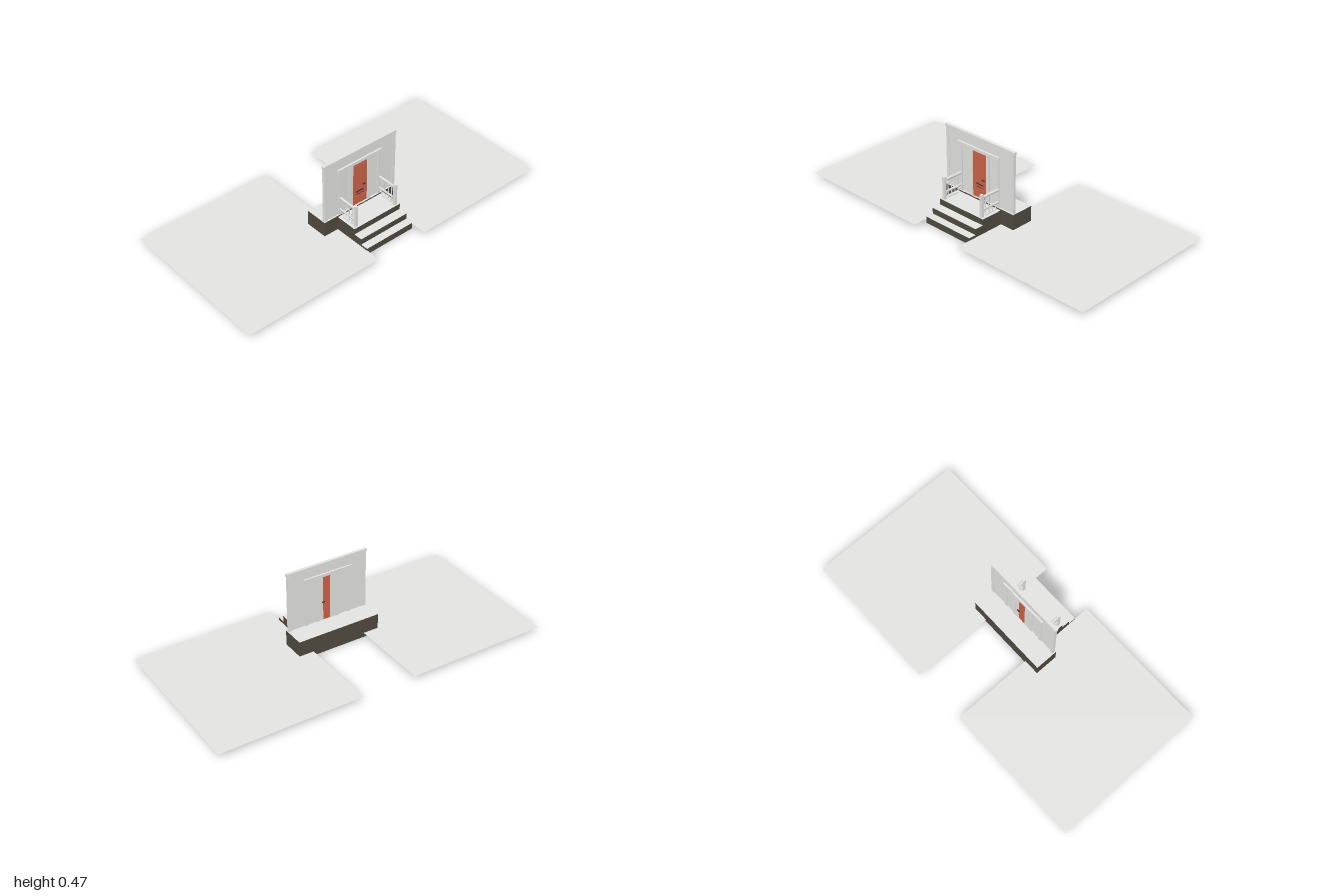
import * as THREE from 'three';

export function createModel() {
  const model = new THREE.Group();
  const mat = (name, color) => {
    const m = new THREE.MeshStandardMaterial({ color });
    m.name = name;
    return m;
  };
  const pale = mat('pale grey paint', 0xe3e3e1);
  const stone = mat('dark stone', 0x504a3f);
  const red = mat('terracotta door', 0xcb6247);
  const dark = mat('dark hardware', 0x35332f);
  const ground = mat('ground grey', 0xe3e3e1);
  ground.side = THREE.DoubleSide;

  // Box given by its lower and upper limits on each axis
  const box = (name, material, x0, x1, y0, y1, z0, z1, parent = model) => {
    const mesh = new THREE.Mesh(new THREE.BoxGeometry(x1 - x0, y1 - y0, z1 - z0), material);
    mesh.position.set((x0 + x1) / 2, (y0 + y1) / 2, (z0 + z1) / 2);
    mesh.name = name;
    parent.add(mesh);
    return mesh;
  };

  // Ground sheets on either side, a little above the foot of the steps
  for (const [x0, x1] of [[-1, -0.163], [0.16, 1]]) {
    const sheet = new THREE.Mesh(new THREE.PlaneGeometry(x1 - x0, 0.936), ground);
    sheet.rotation.x = -Math.PI / 2;
    sheet.position.set((x0 + x1) / 2, 0.026, 0);
    sheet.name = 'groundSheet';
    model.add(sheet);
  }

  // Stone foundation, porch and steps with pale treads
  const slab = [stone, stone, pale, stone, stone, stone];
  box('foundation', slab, -0.256, 0.248, 0, 0.116, 0.011, 0.148);
  box('porch', slab, -0.165, 0.157, 0, 0.108, 0.148, 0.28);
  box('upperStep', slab, -0.165, 0.157, 0, 0.073, 0.28, 0.333);
  box('lowerStep', slab, -0.165, 0.157, 0, 0.038, 0.333, 0.379);

  // Thin wall with a doorway notch, framed by thicker boards
  const outline = new THREE.Shape([
    [-0.245, 0.116], [-0.15, 0.116], [-0.15, 0.395], [0.135, 0.395],
    [0.135, 0.116], [0.24, 0.116], [0.24, 0.46], [-0.245, 0.46],
  ].map(([x, y]) => new THREE.Vector2(x, y)));
  const wall = new THREE.Mesh(
    new THREE.ExtrudeGeometry(outline, { depth: 0.007, bevelEnabled: false }), pale);
  wall.position.z = 0.1315;
  wall.name = 'wall';
  model.add(wall);
  box('wallCap', pale, -0.256, 0.248, 0.46, 0.475, 0.127, 0.144);
  box('cornerBoard', pale, -0.25, -0.232, 0.116, 0.46, 0.126, 0.143);
  box('cornerBoard', pale, 0.225, 0.243, 0.116, 0.46, 0.126, 0.143);

  // Door surround
  const surround = new THREE.Group();
  surround.name = 'doorSurround';
  model.add(surround);
  box('lintel', pale, -0.16, 0.143, 0.391, 0.409, 0.122, 0.149, surround);
  for (const [x0, x1] of [[-0.153, -0.133], [-0.08, -0.055], [0.047, 0.067], [0.118, 0.138]])
    box('jamb', pale, x0, x1, 0.116, 0.391, 0.126, 0.144, surround);
  for (const [x0, x1] of [[-0.133, -0.08], [0.067, 0.118]])
    box('sidelight', pale, x0, x1, 0.116, 0.391, 0.132, 0.136, surround);

  // Door leaf with raised panels and hardware
  const door = new THREE.Group();
  door.name = 'door';
  model.add(door);
  box('doorLeaf', red, -0.055, 0.047, 0.116, 0.391, 0.13, 0.138, door);
  for (const [x0, x1] of [[-0.042, -0.009], [0.001, 0.034]]) {
    box('upperPanel', red, x0, x1, 0.25, 0.37, 0.138, 0.141, door);
    box('lowerPanel', red, x0, x1, 0.14, 0.17, 0.138, 0.141, door);
  }
  box('letterSlot', dark, -0.03, 0.022, 0.195, 0.201, 0.138, 0.14, door);
  box('lowerGroove', dark, -0.03, 0.022, 0.178, 0.181, 0.138, 0.139, door);
  box('handle', dark, 0.015, 0.033, 0.229, 0.233, 0.123, 0.144, door);
  for (const [x0, x1] of [[-0.055, -0.022], [0.024, 0.047]])
    box('innerDoorLining', pale, x0, x1, 0.116, 0.391, 0.128, 0.13, door);

  // Railings on both sides of the porch
  for (const x of [-0.143, 0.134]) {
    const rail = new THREE.Group();
    rail.name = 'railing';
    model.add(rail);
    box('newelPost', pale, x - 0.008, x + 0.008, 0.108, 0.24, 0.256, 0.272, rail);
    box('footStrip', pale, x - 0.004, x + 0.004, 0.108, 0.114, 0.165, 0.24, rail);
    // Rounded handrail and lower rail
    for (const [name, y, radius] of [['topRail', 0.221, 0.009], ['bottomRail', 0.148, 0.007]]) {
      const bar = new THREE.Mesh(new THREE.CylinderGeometry(radius, radius, 0.113, 12), pale);
      bar.rotation.x = Math.PI / 2;
      bar.scale.x = 0.75;
      bar.position.set(x, y, 0.1995);
      bar.name = name;
      rail.add(bar);
    }
    for (let i = 0; i < 4; i++) {
      const baluster = new THREE.Mesh(new THREE.CylinderGeometry(0.003, 0.0035, 0.094, 8), pale);
      baluster.position.set(x, 0.166, 0.163 + i * 0.025);
      baluster.name = 'baluster';
      rail.add(baluster);
    }
  }
  return model;
}
